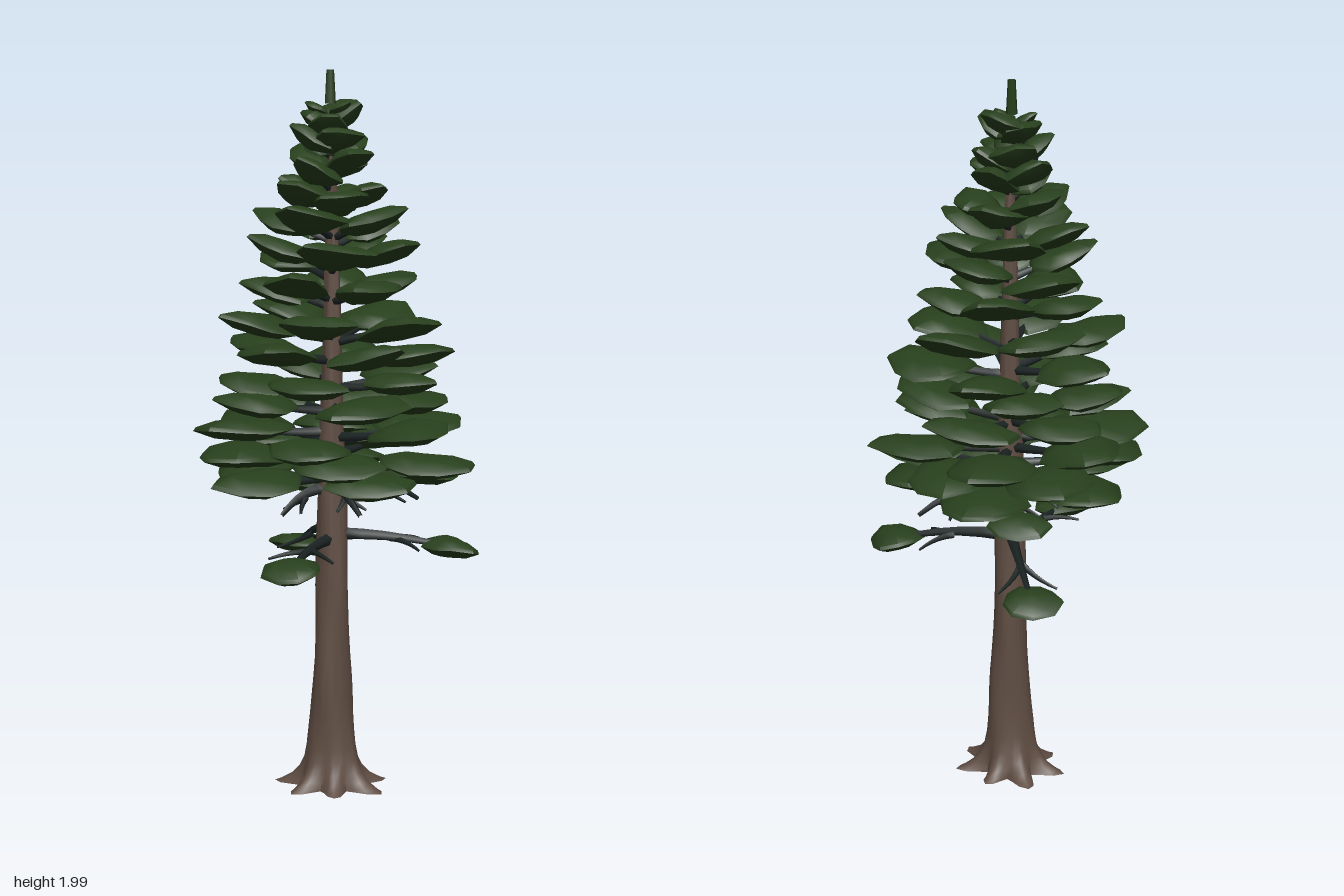
import * as THREE from 'three';
import { toCreasedNormals } from 'three/addons/utils/BufferGeometryUtils.js';

const material = (name, color) => Object.assign(new THREE.MeshStandardMaterial({ color }), { name });
const bark = material('brown bark', 0x5f4d43);
const twig = material('dark twig', 0x1c2524);
const needles = material('dark green needles', 0x28401d);

// Small seeded generator
let seed = 7;
const rand = () => (seed = (seed * 16807) % 2147483647) / 2147483647;
const jitter = (a) => (rand() * 2 - 1) * a;

// Linear interpolation in a list of [position, value] pairs
function lerpList(list, t) {
  for (let i = 1; i < list.length; i++) {
    const [a, va] = list[i - 1], [b, vb] = list[i];
    if (t <= b) return va + ((vb - va) * Math.max(0, t - a)) / (b - a);
  }
  return list[list.length - 1][1];
}

const TRUNK = [[0, 0.085], [0.05, 0.077], [0.1, 0.067], [0.2, 0.059], [0.33, 0.054], [0.4, 0.05], [0.6, 0.046],
  [0.9, 0.037], [1.2, 0.029], [1.6, 0.016], [1.88, 0.006]];

function add(group, geometry, mat, name) {
  const mesh = new THREE.Mesh(geometry, mat);
  mesh.name = name;
  group.add(mesh);
  return mesh;
}

// Tapering trunk, open below and flared into pointed roots
function makeTrunk() {
  const g = new THREE.CylinderGeometry(1, 1, 1, 42, 26, true);
  const p = g.attributes.position;
  for (let i = 0; i < p.count; i++) {
    const x = p.getX(i), z = p.getZ(i), a = Math.atan2(z, x);
    const h = 0.008 + 1.87 * Math.pow(p.getY(i) + 0.5, 1.7);
    const lobe = Math.pow(Math.abs(Math.cos(3.5 * a + 0.3)), 2) * (0.85 + 0.15 * Math.sin(2 * a + 1));
    let r = lerpList(TRUNK, h) + 0.108 * Math.exp(-h / 0.028) * lobe;
    r *= 1 + 0.05 * Math.sin(2 * a + h * 9) + 0.04 * Math.sin(3 * a - h * 14);
    p.setXYZ(i, x * r - 0.006, h, z * r - 0.008);
  }
  return toCreasedNormals(g, 0.9);
}

// Lumpy needle pad, rounded above and below; local +x points outwards
function makePad(len, wid, thick) {
  const profile = [[0, -0.62], [0.58, -0.46], [1, -0.06], [0.94, 0.14], [0.55, 0.45], [0, 0.56]];
  const g = new THREE.LatheGeometry(profile.map(([r, y]) => new THREE.Vector2(r, y)), 9);
  const p = g.attributes.position;
  const k1 = rand() * 6, k2 = rand() * 6;
  for (let i = 0; i < p.count; i++) {
    const x = p.getX(i), z = p.getZ(i), r = Math.hypot(x, z), a = Math.atan2(z, x);
    const s = 1 + 0.08 * Math.sin(2 * a + k1) + 0.09 * Math.sin(3 * a + k2);
    const lift = 0.15 * r * Math.sin(2 * a + k2);
    p.setXYZ(i, x * len * s, (p.getY(i) + lift) * thick, z * wid * s);
  }
  return toCreasedNormals(g, 0.85);
}

function addPad(group, pos, angle, tilt, len, wid, thick) {
  const pad = add(group, makePad(len, wid, thick), needles, 'needlePad');
  pad.position.copy(pos);
  pad.rotation.set(jitter(0.12), -angle, tilt, 'YXZ');
}

// Tapering bent branch along three points
function addBranch(group, from, mid, to, radius) {
  const curve = new THREE.QuadraticBezierCurve3(from, mid, to);
  const g = new THREE.TubeGeometry(curve, 5, radius, 5);
  const p = g.attributes.position;
  const c = new THREE.Vector3(), v = new THREE.Vector3();
  for (let i = 0; i < p.count; i++) {
    const t = Math.floor(i / 6) / 5;
    curve.getPointAt(t, c);
    v.fromBufferAttribute(p, i).sub(c).multiplyScalar(1 - 0.65 * t).add(c);
    p.setXYZ(i, v.x, v.y, v.z);
  }
  g.computeVertexNormals();
  add(group, g, twig, 'branch');
}

const polar = (angle, r, y) => new THREE.Vector3(r * Math.cos(angle) - 0.005, y, r * Math.sin(angle) - 0.01);

// Whorls of the crown: height, tip radius, number of pads
const TIERS = [[0.89, 0.375, 5], [0.945, 0.385, 5], [1.02, 0.385, 6], [1.09, 0.35, 5], [1.16, 0.345, 5],
  [1.23, 0.335, 5], [1.325, 0.31, 5], [1.41, 0.275, 5], [1.5, 0.255, 5], [1.59, 0.22, 5], [1.67, 0.175, 5],
  [1.745, 0.135, 4], [1.81, 0.12, 4], [1.865, 0.095, 4]];

// Sparse low branches: pad or tip position, start height, has a pad
const LOW = [[0.315, 0.695, 0.07, 0.73, 1], [-0.17, 0.70, 0.295, 0.72, 1], [-0.05, 0.645, -0.30, 0.73, 1],
  [-0.16, 0.80, 0.06, 0.86, 0], [0.25, 0.81, -0.06, 0.89, 0], [0.04, 0.81, 0.16, 0.87, 0],
  [-0.02, 0.835, -0.22, 0.87, 1]];

export function createModel() {
  const tree = new THREE.Group();
  tree.name = 'coniferTree';
  add(tree, makeTrunk(), bark, 'trunk');

  // Low branches
  const low = new THREE.Group();
  low.name = 'lowBranches';
  for (const [x, y, z, y0, hasPad] of LOW) {
    const tip = new THREE.Vector3(x, y, z), angle = Math.atan2(z, x), r = Math.hypot(x, z);
    addBranch(low, polar(angle, 0.02, y0), polar(angle + 0.1, r * 0.55, y0 + 0.005), tip, 0.018);
    if (hasPad) addPad(low, tip, angle, -0.15, 0.08, 0.085, 0.048);
    for (const side of [-1, 1]) {
      addBranch(low, polar(angle, r * 0.5, (y + 2 * y0) / 3), polar(angle + side * 0.15, r * 0.65, y + 0.025),
        polar(angle + side * 0.35, r * 0.8, y + 0.005), 0.01);
    }
  }
  tree.add(low);

  // Crown whorls, nearly level below and rising above
  TIERS.forEach(([y, radius, count], i) => {
    const tier = new THREE.Group();
    tier.name = 'whorl' + (i + 1);
    for (let k = 0; k < count; k++) {
      const angle = ((k + i * 0.41) / count) * Math.PI * 2 + jitter(0.14);
      const tip = radius * (0.98 + jitter(0.06));
      const len = 0.043 + tip * 0.215;
      const wid = (0.043 + tip * 0.215) * (1 + jitter(0.1));
      const tilt = -0.04 + (y - 0.88) * 0.5 + jitter(0.08);
      const centre = polar(angle, Math.max(tip - len, 0.02), y + jitter(0.022));
      const root = polar(angle, 0.006, centre.y - 0.02 - tilt * tip * 0.4);
      const mid = polar(angle + 0.08, tip * 0.35, centre.y - 0.022);
      addBranch(tier, root, mid, centre, 0.008 + tip * 0.02);
      addPad(tier, centre, angle, tilt, len, wid, 0.046 + tip * 0.02);
    }
    tree.add(tier);
  });

  // Blunt upright leader and its small tuft
  const leader = add(tree, new THREE.CylinderGeometry(0.011, 0.016, 0.09, 5), needles, 'leader');
  leader.position.set(-0.01, 1.955, -0.015);
  for (let k = 0; k < 3; k++) {
    const angle = k * 2.1 - 0.9;
    addPad(tree, polar(angle, 0.04, 1.895), angle, 0.5, 0.035, 0.03, 0.025);
  }
  return tree;
}
